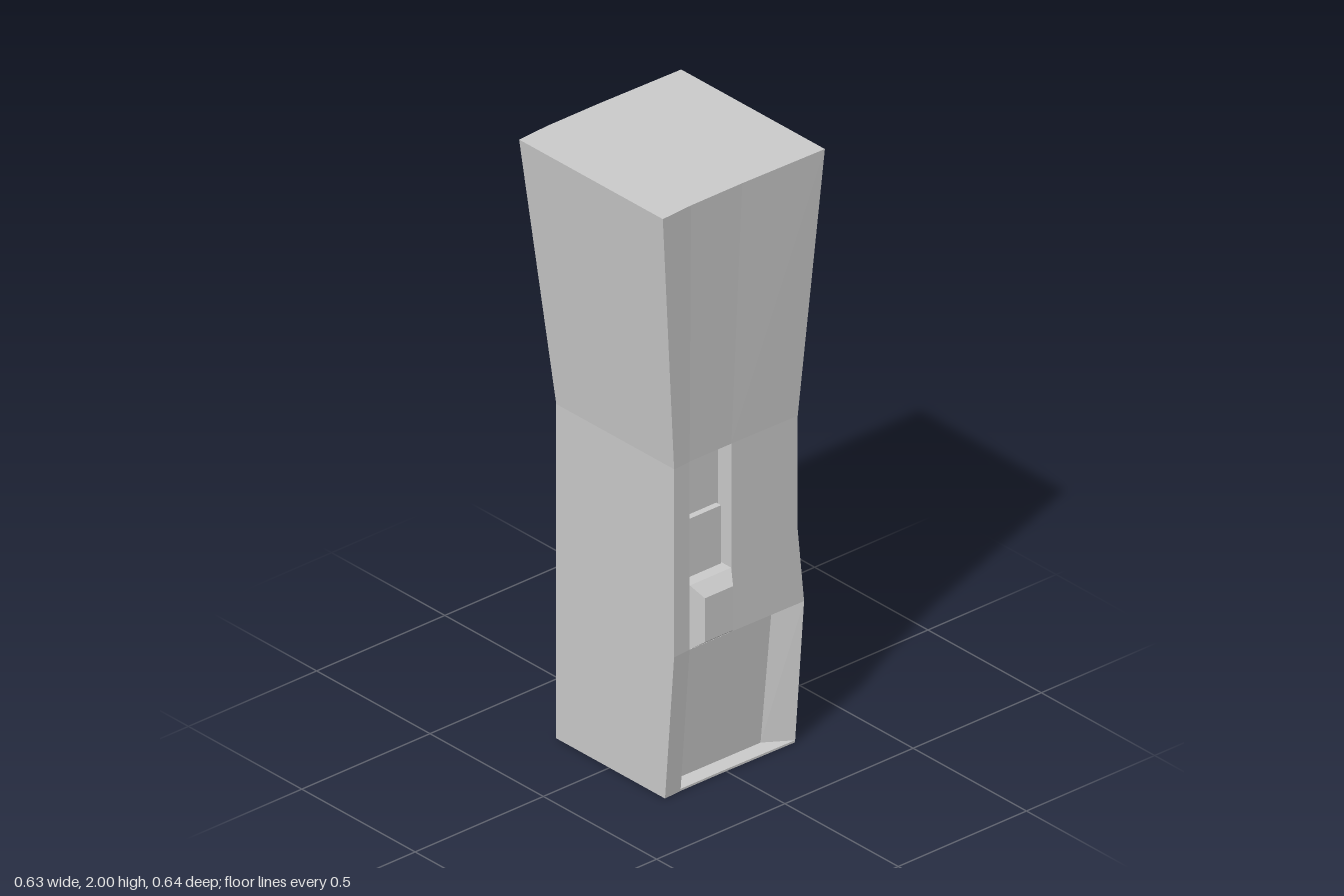
import * as THREE from 'three';

const material = new THREE.MeshStandardMaterial({ color: 0xcccccc, flatShading: true, side: THREE.DoubleSide });

// Flat-shaded mesh from polygons, corners counter-clockwise seen from outside
function polyMesh(name, polygons) {
  const pos = [];
  for (const p of polygons)
    for (let i = 1; i < p.length - 1; i++) pos.push(...p[0], ...p[i], ...p[i + 1]);
  const geo = new THREE.BufferGeometry();
  geo.setAttribute('position', new THREE.Float32BufferAttribute(pos, 3));
  geo.computeVertexNormals();
  const mesh = new THREE.Mesh(geo, material);
  mesh.name = name;
  return mesh;
}

// Cross-sections: four columns in x, front z and back z at corners and middle
const rows = [
  { y: 0, x: [-0.242, -0.178, -0.015, 0.265], front: [0.245, 0.241], back: [-0.235, -0.24] },
  { y: 0.49, x: [-0.242, -0.178, -0.015, 0.265], front: [0.285, 0.281], back: [-0.235, -0.24] },
  { y: 0.74, x: [-0.242, -0.178, -0.015, 0.24], front: [0.285, 0.281], back: [-0.235, -0.24] },
  { y: 1.12, x: [-0.242, -0.178, -0.015, 0.24], front: [0.285, 0.281], back: [-0.235, -0.24] },
  { y: 2, x: [-0.316, -0.2, 0.0, 0.316], front: [0.319, 0.312], back: [-0.315, -0.322] },
];
const at = (r, c, face) => [rows[r].x[c], rows[r].y, rows[r][face][c === 0 || c === 3 ? 0 : 1]];
const setBack = (p, d) => [p[0], p[1], p[2] - d];

function createShell() {
  const polys = [];
  for (let r = 0; r < rows.length - 1; r++) {
    const F = (i, c) => at(r + i, c, 'front');
    const B = (i, c) => at(r + i, c, 'back');
    for (let c = 0; c < 3; c++) {
      polys.push([B(0, c + 1), B(0, c), B(1, c), B(1, c + 1)]);
      // Leave the slot and the lower recess open
      const open = (c === 1 && r < 3) || (c === 2 && r === 0);
      if (!open) polys.push([F(0, c), F(0, c + 1), F(1, c + 1), F(1, c)]);
    }
    polys.push([F(0, 3), B(0, 3), B(1, 3), F(1, 3)]);
    polys.push([B(0, 0), F(0, 0), F(1, 0), B(1, 0)]);
  }
  // Top and bottom caps, strip by strip
  const top = rows.length - 1;
  for (let c = 0; c < 3; c++) {
    polys.push([at(top, c, 'front'), at(top, c + 1, 'front'), at(top, c + 1, 'back'), at(top, c, 'back')]);
    polys.push([at(0, c, 'back'), at(0, c + 1, 'back'), at(0, c + 1, 'front'), at(0, c, 'front')]);
  }
  return polyMesh('shell', polys);
}

// Lower recess: sunken panel that runs out to the side edge
function createLowerRecess() {
  const depth = 0.055, lip = 0.007;
  const level = (r, lift, kinkX) => {
    const raise = (p) => [p[0], p[1] + lift, p[2]];
    const [a, b, end] = [1, 2, 3].map((c) => raise(at(r, c, 'front')));
    const kink = [kinkX, a[1], a[2] - depth + 0.003];
    return { a, b, end, inner: setBack(a, depth), kink };
  };
  const lo = level(0, lip, 0.18), hi = level(1, 0, 0.19);
  return polyMesh('lowerRecess', [
    [lo.inner, lo.kink, hi.kink, hi.inner],
    [lo.kink, lo.end, hi.end, hi.kink],
    [lo.a, lo.inner, hi.inner, hi.a],
    [lo.b, lo.end, lo.kink, lo.inner, lo.a],
    [hi.b, hi.a, hi.inner, hi.kink, hi.end],
    [at(0, 1, 'front'), at(0, 2, 'front'), lo.b, lo.a],
    [at(0, 2, 'front'), at(0, 3, 'front'), lo.end, lo.b],
  ]);
}

// Slot: four walls and a floor
function createSlot() {
  const outer = [at(1, 1, 'front'), at(1, 2, 'front'), at(3, 2, 'front'), at(3, 1, 'front')];
  const inner = outer.map((p) => setBack(p, 0.06));
  const walls = outer.map((p, i) => [p, outer[(i + 1) % 4], inner[(i + 1) % 4], inner[i]]);
  return polyMesh('slot', [inner, ...walls]);
}

// Slider: bevelled button rising from the lower end of the slot
function createSlider() {
  const rect = (x0, x1, y0, y1, z) => [[x0, y0, z], [x1, y0, z], [x1, y1, z], [x0, y1, z]];
  const rings = [
    rect(-0.177, -0.016, 0.491, 0.705, 0.222),
    rect(-0.177, -0.016, 0.491, 0.705, 0.281),
    rect(-0.15, -0.04, 0.52, 0.667, 0.317),
  ];
  const polys = [rings[2]];
  for (let k = 0; k < 2; k++)
    for (let i = 0; i < 4; i++) {
      const j = (i + 1) % 4;
      polys.push([rings[k][i], rings[k][j], rings[k + 1][j], rings[k + 1][i]]);
    }
  return polyMesh('slider', polys);
}

export function createModel() {
  const model = new THREE.Group();
  model.name = 'handle';
  model.add(createShell(), createLowerRecess(), createSlot(), createSlider());

  // Raised plate in the middle of the slot
  const plate = new THREE.Mesh(new THREE.BoxGeometry(0.15, 0.195, 0.022), material);
  plate.name = 'slotPlate';
  plate.position.set(-0.096, 0.802, 0.231);
  model.add(plate);
  return model;
}
